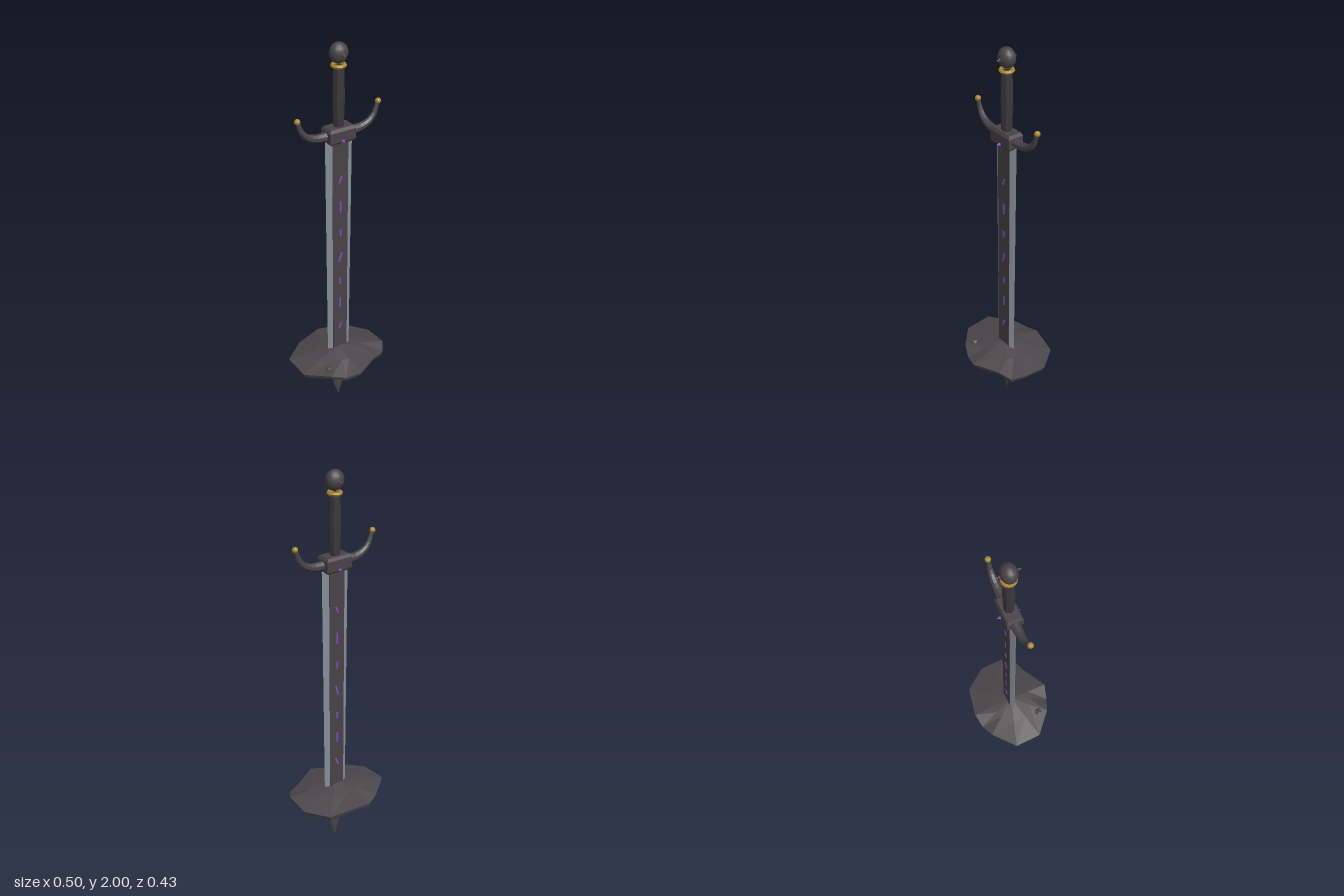
import * as THREE from 'three';

const mat = (name, color, flatShading = true) => {
  const m = new THREE.MeshStandardMaterial({ color, flatShading });
  m.name = name;
  return m;
};

// Skin a closed surface over equal-sized rings, wound counter-clockwise about the loft direction
function loft(rings) {
  const n = rings[0].length, pos = [], idx = [];
  rings.forEach(r => r.forEach(p => pos.push(...p)));
  for (let j = 0; j < rings.length - 1; j++) {
    for (let i = 0; i < n; i++) {
      const a = j * n + i, b = j * n + (i + 1) % n;
      idx.push(a, b, b + n, a, b + n, a + n);
    }
  }
  const top = (rings.length - 1) * n;
  for (let i = 1; i < n - 1; i++) idx.push(0, i + 1, i, top, top + i, top + i + 1);
  const g = new THREE.BufferGeometry();
  g.setAttribute('position', new THREE.Float32BufferAttribute(pos, 3));
  g.setIndex(idx);
  g.computeVertexNormals();
  return g;
}

const rect = (y, w, d) => [[w, y, d], [w, y, -d], [-w, y, -d], [-w, y, d]];

export function createModel() {
  const model = new THREE.Group();
  model.name = 'swordInStone';
  const sword = new THREE.Group();
  sword.name = 'sword';
  sword.position.set(0.009, 0, -0.007);
  model.add(sword);

  const dark = mat('dark steel', 0x474246);
  const edge = mat('edge steel', 0x8a919a);
  const leather = mat('grip leather', 0x3b373b);
  const stone = mat('stone', 0x4b4649);
  const gold = mat('gold', 0xa9852f);
  const purple = mat('purple glow', 0x8a45cc);
  const pommelMat = mat('pommel steel', 0x474246, false);

  const add = (name, geo, material, x = 0, y = 0, z = 0, parent = sword) => {
    const m = new THREE.Mesh(geo, material);
    m.name = name;
    m.position.set(x, y, z);
    parent.add(m);
    return m;
  };

  // Blade: dark core with bevelled bright edges
  add('bladeCore', loft([rect(0.28, 0.041, 0.016), rect(1.54, 0.043, 0.017)]), dark);
  const bevel = loft([[0.28, 0.04, 0.064, 0.015], [1.535, 0.042, 0.073, 0.016]].map(
    ([y, inner, outer, d]) => [[outer, y, 0], [inner, y, -d], [inner, y, d]]));
  for (const s of [1, -1]) {
    add(s > 0 ? 'leftEdge' : 'rightEdge', bevel, edge).rotation.y = s > 0 ? 0 : Math.PI;
  }

  // Point of the blade, below the stone
  const tip = [[0, 0.001, 0.001], [0.05, 0.018, 0.005], [0.12, 0.037, 0.009], [0.2, 0.054, 0.012], [0.29, 0.063, 0.015]];
  add('bladeTip', loft(tip.map(([y, w, d]) => {
    const c = w * 0.5;
    return [[w, y, 0], [c, y, -d], [-c, y, -d], [-w, y, 0], [-c, y, d], [c, y, d]];
  })), dark);

  // Runes on both faces: height, length, lean
  const runes = [[1.335, 0.036, 0.35], [1.185, 0.058, 0], [1.04, 0.036, 0], [0.9, 0.052, 0.3],
    [0.757, 0.034, 0], [0.625, 0.055, 0], [0.48, 0.04, 0.4]];
  for (const [y, h, lean] of runes) {
    for (const s of [1, -1]) {
      add('rune', new THREE.BoxGeometry(0.009, h, 0.004), purple, 0, y, s * 0.0175).rotation.z = -lean;
    }
  }

  // Guard block
  add('guardBlock', loft([rect(1.53, 0.06, 0.033), rect(1.542, 0.069, 0.04),
    rect(1.592, 0.069, 0.04), rect(1.606, 0.06, 0.032)]), dark);

  // Curved, tapering guard arms with gold ends
  const path = new THREE.CatmullRomCurve3([[0.05, 1.568], [0.115, 1.569], [0.165, 1.587], [0.195, 1.62], [0.213, 1.672]]
    .map(([x, y]) => new THREE.Vector3(x, y, 0)));
  const armRings = [];
  for (let i = 0; i <= 8; i++) {
    const t = i / 8, p = path.getPoint(t), d = path.getTangent(t);
    const r = 0.023 - 0.013 * t, rz = 0.025 - 0.016 * t, ring = [];
    for (let k = 0; k < 8; k++) {
      const a = (k + 0.5) * Math.PI / 4, c = r * Math.cos(a);
      ring.push([p.x - d.y * c, p.y + d.x * c, rz * Math.sin(a)]);
    }
    armRings.push(ring);
  }
  const armGeo = loft(armRings);
  for (const s of [1, -1]) {
    add(s > 0 ? 'leftGuardArm' : 'rightGuardArm', armGeo, dark).rotation.y = s > 0 ? 0 : Math.PI;
    add('guardArmBall', new THREE.IcosahedronGeometry(0.0145, 1), gold, s * 0.215, 1.676);
  }

  // Grip, collar and pommel
  const profile = [[0.024, 1.59], [0.026, 1.64], [0.029, 1.74], [0.027, 1.83], [0.025, 1.89]]
    .map(([r, y]) => new THREE.Vector2(r, y));
  add('grip', new THREE.LatheGeometry(profile, 8), leather);
  const collar = add('collar', new THREE.TorusGeometry(0.028, 0.009, 6, 16), gold, 0, 1.895);
  collar.rotation.x = Math.PI / 2;
  add('pommel', new THREE.SphereGeometry(0.048, 14, 10), pommelMat, 0, 1.952).scale.set(0.94, 1, 0.8);

  // Pointed gems on the front and back of pommel and guard
  for (const s of [1, -1]) {
    add('pommelGem', new THREE.ConeGeometry(0.011, 0.024, 6), dark, 0, 1.95, s * 0.042).rotation.x = s * Math.PI / 2;
    add('pommelGemPoint', new THREE.ConeGeometry(0.004, 0.009, 6), purple, 0, 1.95, s * 0.051).rotation.x = s * Math.PI / 2;
    add('guardGem', new THREE.ConeGeometry(0.012, 0.024, 6), purple, 0, 1.543, s * 0.045).rotation.x = s * Math.PI / 2;
  }

  // Flat faceted stone pierced by the blade
  const outline = [[-0.249, -0.079], [-0.133, -0.175], [-0.067, -0.205], [0.01, -0.215], [0.163, -0.186],
    [0.246, -0.073], [0.247, 0.059], [0.21, 0.116], [0.138, 0.141], [0.01, 0.211], [-0.067, 0.188],
    [-0.133, 0.159], [-0.242, 0.062]].reverse();
  const layers = [[0.05, 0.23, 0], [0.56, 0.236, 0.006], [0.96, 0.272, 0.012], [1, 0.295, 0.01], [0.5, 0.324, 0], [0.08, 0.346, 0]];
  add('stone', loft(layers.map(([s, y, wob]) =>
    outline.map(([x, z], i) => [x * s, y + wob * Math.sin(i * 2.3), z * s]))), stone, 0, 0, 0, model);
  const chip = add('stoneChip', new THREE.DodecahedronGeometry(0.021, 0), stone, -0.122, 0.312, 0.11, model);
  chip.scale.y = 0.6;

  return model;
}
